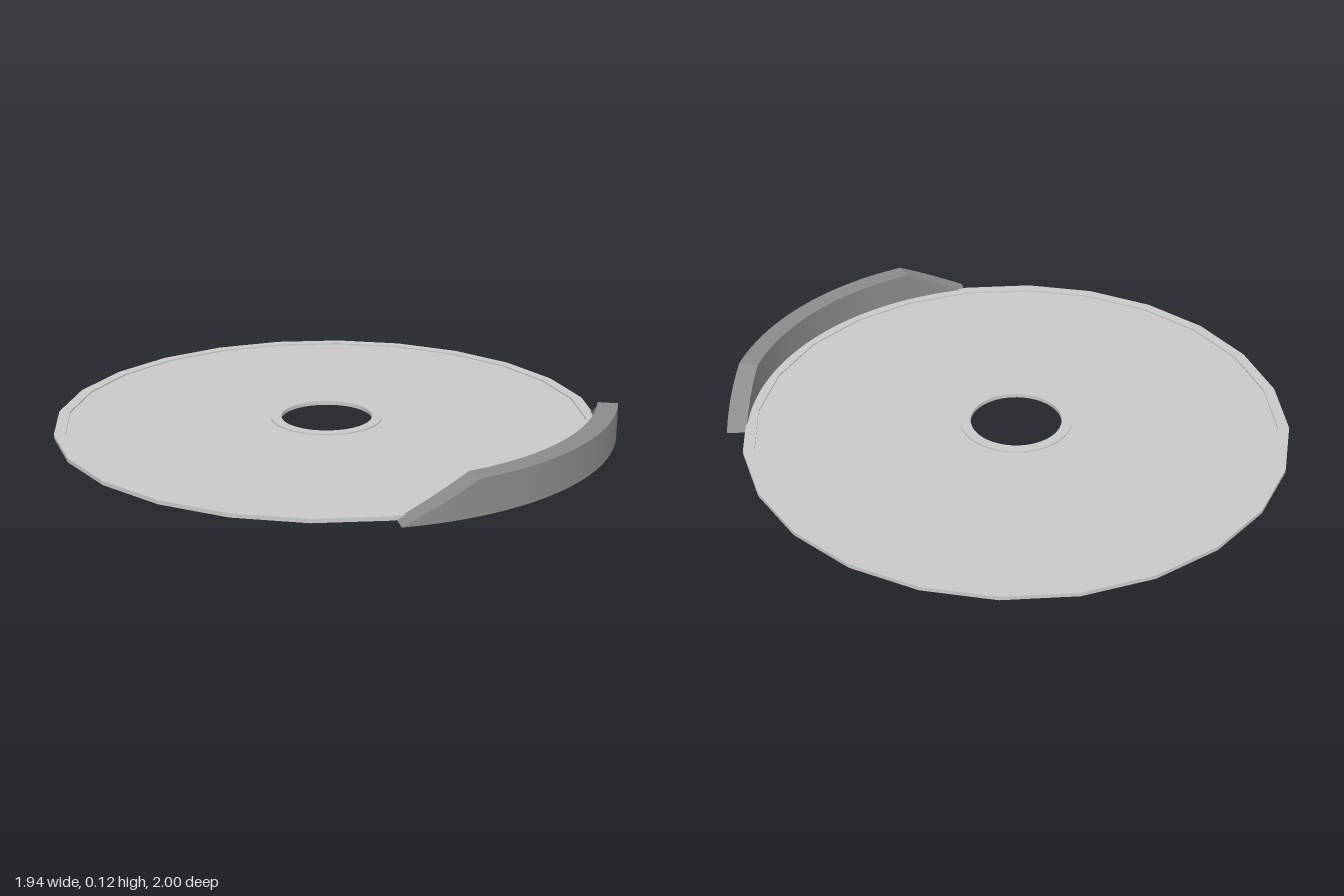
import * as THREE from 'three';
import { toCreasedNormals } from 'three/addons/utils/BufferGeometryUtils.js';

const DISC_Z = -0.03;
const RIM_HEIGHT = 0.014;

const paleGrey = new THREE.MeshStandardMaterial({ color: 0xcacaca });
paleGrey.name = 'paleGrey';
const midGrey = new THREE.MeshStandardMaterial({ color: 0x8c8c8c });
midGrey.name = 'midGrey';

// Flat ring with a rectangular cross-section
function ring(name, inner, outer, y0, y1, sides, crease) {
  const profile = [[inner, y0], [outer, y0], [outer, y1], [inner, y1], [inner, y0]]
    .map(([r, y]) => new THREE.Vector2(r, y));
  const geometry = toCreasedNormals(new THREE.LatheGeometry(profile, sides), crease);
  const mesh = new THREE.Mesh(geometry, paleGrey);
  mesh.name = name;
  return mesh;
}

// Curved wall along the edge, sloping down to the floor at both ends
function guard() {
  const inner = 0.957, outer = 1.028, height = 0.124;
  const knots = [[-14.4, 0], [0, height], [52, height], [67, 0]];
  const steps = [6, 26, 6];
  const sections = [];
  steps.forEach((count, k) => {
    for (let i = k ? 1 : 0; i <= count; i++) {
      const t = i / count;
      sections.push([
        THREE.MathUtils.degToRad(THREE.MathUtils.lerp(knots[k][0], knots[k + 1][0], t)),
        THREE.MathUtils.lerp(knots[k][1], knots[k + 1][1], t),
      ]);
    }
  });

  const positions = [], indices = [];
  sections.forEach(([angle, top], s) => {
    for (const [r, y] of [[inner, 0], [outer, 0], [outer, top], [inner, top]]) {
      positions.push(r * Math.sin(angle), y, r * Math.cos(angle));
    }
    if (s === sections.length - 1) return;
    for (let j = 0; j < 4; j++) {
      const a = s * 4 + j, d = s * 4 + (j + 1) % 4;
      indices.push(a, a + 4, d, d + 4, d, a + 4);
    }
  });
  const geometry = new THREE.BufferGeometry();
  geometry.setAttribute('position', new THREE.Float32BufferAttribute(positions, 3));
  geometry.setIndex(indices);
  const mesh = new THREE.Mesh(toCreasedNormals(geometry, 0.35), midGrey);
  mesh.name = 'edgeGuard';
  return mesh;
}

export function createModel() {
  const model = new THREE.Group();
  model.name = 'discWithGuard';

  // Thin plate recessed between a faceted rim and a round hub
  model.add(
    ring('plate', 0.18, 0.95, 0.005, 0.009, 24, 0.1),
    ring('outerRim', 0.93, 0.97, 0, RIM_HEIGHT, 24, 0.1),
    ring('hubRing', 0.163, 0.2, 0, RIM_HEIGHT, 64, 0.5),
    guard(),
  );
  model.children.forEach((part) => { part.position.z = DISC_Z; });
  return model;
}
